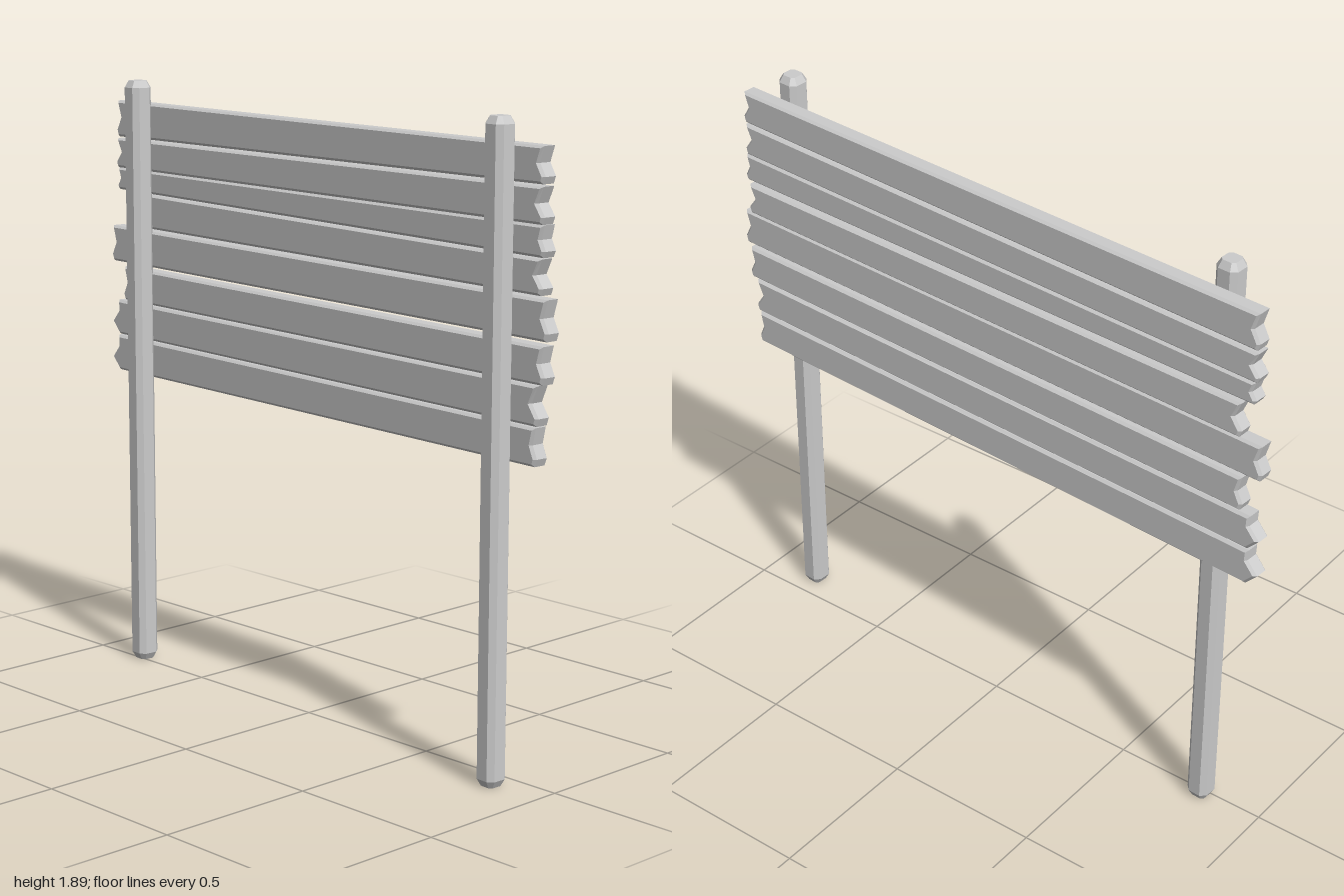
import * as THREE from 'three';

const material = new THREE.MeshStandardMaterial({ color: 0xcccccc, flatShading: true });
const TURN = -0.06;       // the board is turned slightly about the vertical
const THICKNESS = 0.054;

// Chamfered prism centred on its depth
function prism(points, depth, bevel, bevelDepth) {
  const shape = new THREE.Shape(points.map(([x, y]) => new THREE.Vector2(x, y)));
  const geometry = new THREE.ExtrudeGeometry(shape, {
    depth: depth - 2 * bevelDepth, bevelEnabled: true, bevelSegments: 1,
    bevelSize: bevel, bevelOffset: -bevel, bevelThickness: bevelDepth,
  });
  return geometry.translate(0, 0, bevelDepth - depth / 2);
}

// Seams between planks from the top down: height at the left and right end, gap
const seams = [
  [1.818, 1.818, 0.006], [1.697, 1.709, 0.006], [1.6, 1.603, 0],
  [1.527, 1.511, 0.006], [1.412, 1.405, 0.006], [1.287, 1.28, 0.014],
  [1.169, 1.164, 0.004], [1.053, 1.047, 0.004], [0.936, 0.936, 0],
];
// How far each plank reaches to either side
const reach = [
  [-0.96, 0.975], [-0.965, 0.975], [-0.96, 0.98], [-0.925, 0.963],
  [-0.995, 0.997], [-0.935, 0.985], [-0.998, 0.965], [-1, 0.96],
];

// Ragged ends: [distance inward, fraction down from the top]
const notch = (depth) => [[0.006, 0], [depth, 0.45], [0, 0.8], [0.008, 1]];
const splinter = [[0.033, 0], [0.035, 0.3], [0, 0.65], [0.038, 1]];

function makePlank([xLeft, xRight], i) {
  const [top, bottom] = [seams[i], seams[i + 1]];
  const height = (side, f) => THREE.MathUtils.lerp(
    top[side] - top[2] / 2, bottom[side] + bottom[2] / 2, f);
  const depth = 0.022 + 0.006 * Math.sin(i * 2.4);
  const leftEnd = i > 5 ? splinter : notch(depth);
  // Counter-clockwise: down the left end, then up the right end
  const outline = [
    ...leftEnd.map(([d, f]) => [xLeft + d, height(0, f)]),
    ...notch(depth).reverse().map(([d, f]) => [xRight - d, height(1, f)]),
  ];
  const plank = new THREE.Mesh(prism(outline, THICKNESS, 0.008, 0.008), material);
  plank.name = `plank${i + 1}`;
  plank.position.z = i === 3 ? -0.01 : 0; // one plank sits further back
  return plank;
}

// Square post with chamfered corners and ends
function makePost(name, x, z) {
  const h = 0.036, c = 0.02;
  const section = [
    [c, -h], [h, -c], [h, c], [c, h], [-c, h], [-h, c], [-h, -c], [-c, -h],
  ];
  const geometry = prism(section, 1.89, 0.012, 0.022).rotateX(-Math.PI / 2);
  const post = new THREE.Mesh(geometry, material);
  post.name = name;
  post.position.set(x, 0.945, z);
  post.rotation.y = TURN;
  return post;
}

export function createModel() {
  const model = new THREE.Group();
  model.name = 'plankSign';

  // Board of ragged planks
  const board = new THREE.Group();
  board.name = 'board';
  board.position.z = -0.025;
  board.rotation.y = TURN;
  board.add(...reach.map(makePlank));

  // Posts in front of the board
  model.add(board, makePost('rightPost', -0.8, -0.015), makePost('leftPost', 0.83, 0.08));
  return model;
}
